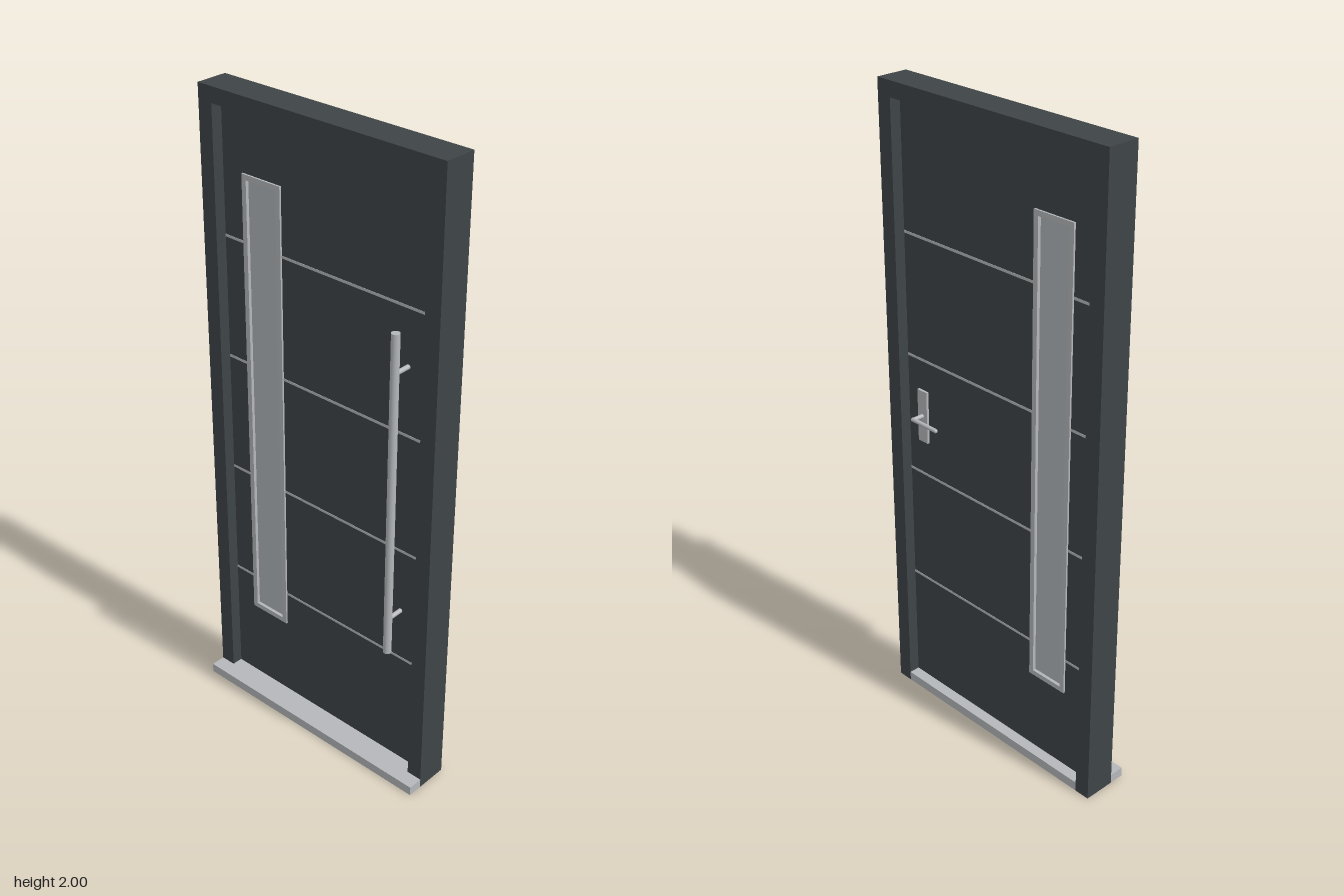
import * as THREE from 'three';

const paint = new THREE.MeshStandardMaterial({ color: 0x3e4447 });
paint.name = 'anthracite paint';
const steel = new THREE.MeshStandardMaterial({ color: 0xb4b7ba });
steel.name = 'brushed steel';
const glass = new THREE.MeshStandardMaterial({ color: 0xb0b5b8 });
glass.name = 'frosted glass';

const LEAF_FRONT = 0.006, LEAF_BACK = -0.036, LEAF_MID = -0.015;
const WINDOW = [-0.295, 0.305, -0.152, 1.77];

export function createModel() {
  const model = new THREE.Group();
  model.name = 'frontDoor';

  const add = (name, geometry, material, x = 0, y = 0, z = 0) => {
    const mesh = new THREE.Mesh(geometry, material);
    mesh.name = name;
    mesh.position.set(x, y, z);
    model.add(mesh);
    return mesh;
  };
  // Box given by its lower and upper corners
  const box = (name, material, [x0, y0, z0], [x1, y1, z1]) =>
    add(name, new THREE.BoxGeometry(x1 - x0, y1 - y0, z1 - z0), material,
      (x0 + x1) / 2, (y0 + y1) / 2, (z0 + z1) / 2);
  const trace = (path, [x0, y0, x1, y1]) =>
    path.moveTo(x0, y0).lineTo(x1, y0).lineTo(x1, y1).lineTo(x0, y1).closePath();
  // Rectangular panel with a rectangular hole
  const ring = (name, material, outer, inner, z0, z1) => {
    const shape = new THREE.Shape();
    trace(shape, outer);
    const hole = new THREE.Path();
    trace(hole, inner);
    shape.holes.push(hole);
    add(name, new THREE.ExtrudeGeometry(shape, { depth: z1 - z0, bevelEnabled: false }),
      material, 0, 0, z0);
  };
  const inset = ([x0, y0, x1, y1], d) => [x0 + d, y0 + d, x1 - d, y1 - d];

  // Outer frame: one portal-shaped extrusion
  const portal = new THREE.Shape([
    [-0.427, 0], [-0.377, 0], [-0.377, 1.953], [0.377, 1.953],
    [0.377, 0], [0.427, 0], [0.427, 2], [-0.427, 2],
  ].map(([x, y]) => new THREE.Vector2(x, y)));
  add('doorFrame', new THREE.ExtrudeGeometry(portal, { depth: 0.102, bevelEnabled: false }),
    paint, 0, 0, -0.066);

  // Threshold and projecting sill
  box('threshold', steel, [-0.377, 0, -0.066], [0.377, 0.03, 0.036]);
  box('sill', steel, [-0.427, 0, 0.036], [0.427, 0.03, 0.083]);

  // Door leaf with its narrow window
  ring('doorLeaf', paint, [-0.371, 0.036, 0.371, 1.947], inset(WINDOW, 0.008), LEAF_BACK, LEAF_FRONT);
  const [x0, y0, x1, y1] = inset(WINDOW, 0.012);
  box('windowGlass', glass, [x0, y0, LEAF_BACK + 0.004], [x1, y1, LEAF_FRONT - 0.004]);
  ring('windowTrim', steel, WINDOW, inset(WINDOW, 0.016), LEAF_BACK - 0.006, LEAF_FRONT + 0.006);

  // Horizontal inlay strips on both faces, interrupted by the window
  for (const y of [0.42, 0.8, 1.183, 1.565]) {
    for (const z of [LEAF_FRONT, LEAF_BACK]) {
      box('inlayStrip', steel, [-0.371, y - 0.004, z - 0.001], [WINDOW[0], y + 0.004, z + 0.001]);
      box('inlayStrip', steel, [WINDOW[2], y - 0.004, z - 0.001], [0.371, y + 0.004, z + 0.001]);
    }
  }

  // Front pull bar on two standoffs
  add('pullBar', new THREE.CylinderGeometry(0.0125, 0.0125, 1.04, 24), steel, 0.304, 0.993, 0.061);
  for (const y of [0.592, 1.393]) {
    add('pullBarStandoff', new THREE.CylinderGeometry(0.007, 0.007, 0.055, 16), steel,
      0.304, y, 0.0335).rotation.x = Math.PI / 2;
  }

  // Inside lever handle
  box('handlePlate', steel, [0.285, 0.915, LEAF_BACK - 0.008], [0.325, 1.085, LEAF_BACK]);
  add('leverNeck', new THREE.CylinderGeometry(0.0065, 0.0065, 0.044, 16), steel,
    0.305, 1.002, -0.058).rotation.x = Math.PI / 2;
  add('lever', new THREE.CapsuleGeometry(0.0065, 0.1, 6, 16), steel,
    0.257, 1.002, -0.0795).rotation.z = Math.PI / 2;

  // Hinges in the gap on the inside
  for (const y of [0.24, 1.0, 1.77]) {
    add('hinge', new THREE.CylinderGeometry(0.007, 0.007, 0.08, 16), steel, -0.373, y, LEAF_BACK - 0.002);
    box('hingeLeaf', steel, [-0.3775, y - 0.04, LEAF_BACK], [-0.3705, y + 0.04, LEAF_MID]);
  }

  return model;
}
